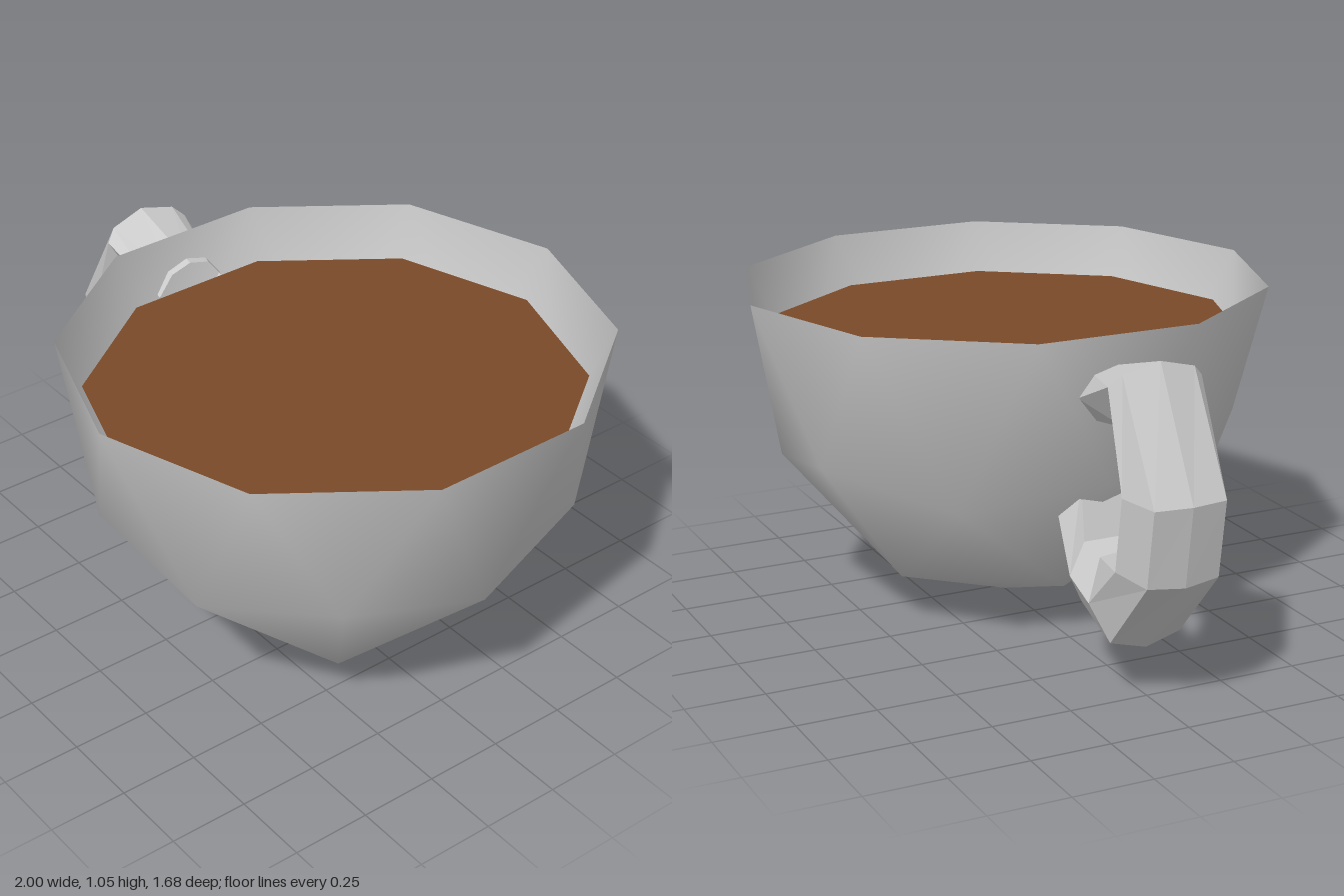
import * as THREE from 'three';
import { mergeVertices } from 'three/addons/utils/BufferGeometryUtils.js';

const CUP_X = 0.22;

// Lower half of a once-divided icosahedron standing on a vertex, smooth shaded
function bowlGeometry() {
  const ico = new THREE.IcosahedronGeometry(1, 1);
  ico.rotateZ(-Math.atan(2 / (1 + Math.sqrt(5))));
  const p = ico.attributes.position;
  const kept = [];
  for (let i = 0; i < p.count; i += 3) {
    if (p.getY(i) + p.getY(i + 1) + p.getY(i + 2) > 0) continue;
    for (let k = i; k < i + 3; k++) kept.push(p.getX(k), p.getY(k), p.getZ(k));
  }
  let geo = new THREE.BufferGeometry();
  geo.setAttribute('position', new THREE.Float32BufferAttribute(kept, 3));
  geo = mergeVertices(geo, 1e-3);
  geo.scale(0.82, 1.05, 0.84);
  geo.translate(CUP_X, 1.05, 0);
  geo.computeVertexNormals();
  return geo;
}

// Handle: seven-sided sections from the top joint round to the lower joint.
// Each station lists [x, y] of outer crown, outer edge, side ridge, inner edge,
// then the half-widths of outer edge, side ridge and inner edge.
function handleGeometry() {
  const stations = [
    [[-0.53, 0.95], [-0.53, 0.93], [-0.53, 0.865], [-0.53, 0.79], 0.07, 0.12, 0.06],
    [[-0.8, 1.03], [-0.79, 1.0], [-0.77, 0.965], [-0.74, 0.83], 0.115, 0.15, 0.08],
    [[-1.0, 0.66], [-0.985, 0.66], [-0.87, 0.67], [-0.76, 0.69], 0.115, 0.155, 0.08],
    [[-0.965, 0.41], [-0.95, 0.42], [-0.835, 0.44], [-0.725, 0.455], 0.115, 0.155, 0.08],
    [[-0.74, 0.15], [-0.735, 0.18], [-0.665, 0.285], [-0.6, 0.395], 0.115, 0.15, 0.08],
    [[-0.52, 0.21], [-0.52, 0.235], [-0.525, 0.32], [-0.5, 0.41], 0.1, 0.14, 0.08],
    [[-0.31, 0.43], [-0.32, 0.45], [-0.37, 0.5], [-0.44, 0.58], 0.07, 0.11, 0.06],
  ];
  const pos = [], index = [], n = 7;
  stations.forEach(([o, c, r, i, wc, wr, wi], s) => {
    pos.push(...o, 0, ...c, wc, ...r, wr, ...i, wi, ...i, -wi, ...r, -wr, ...c, -wc);
    if (s === stations.length - 1) return;
    for (let j = 0; j < n; j++) {
      const a = s * n + j, b = s * n + (j + 1) % n;
      index.push(a, a + n, b, b, a + n, b + n);
    }
  });
  const geo = new THREE.BufferGeometry();
  geo.setAttribute('position', new THREE.Float32BufferAttribute(pos, 3));
  geo.setIndex(index);
  geo.computeVertexNormals();
  return geo;
}

export function createModel() {
  const model = new THREE.Group();
  model.name = 'cup';
  const add = (name, geo, options) => {
    const mesh = new THREE.Mesh(geo, new THREE.MeshStandardMaterial(options));
    mesh.name = name;
    model.add(mesh);
    return mesh;
  };

  // Thin open bowl
  add('bowl', bowlGeometry(), { color: 0xcccccc, side: THREE.DoubleSide });

  // Faceted handle
  add('handle', handleGeometry(), { color: 0xcccccc, flatShading: true, side: THREE.DoubleSide });

  // Ten-sided drink surface just below the rim
  const drink = new THREE.CircleGeometry(1, 10, Math.PI / 2);
  drink.rotateX(-Math.PI / 2);
  drink.scale(0.747, 1, 0.765);
  add('drink', drink, { color: 0x7a4a28 }).position.set(CUP_X, 0.89, 0);

  return model;
}
